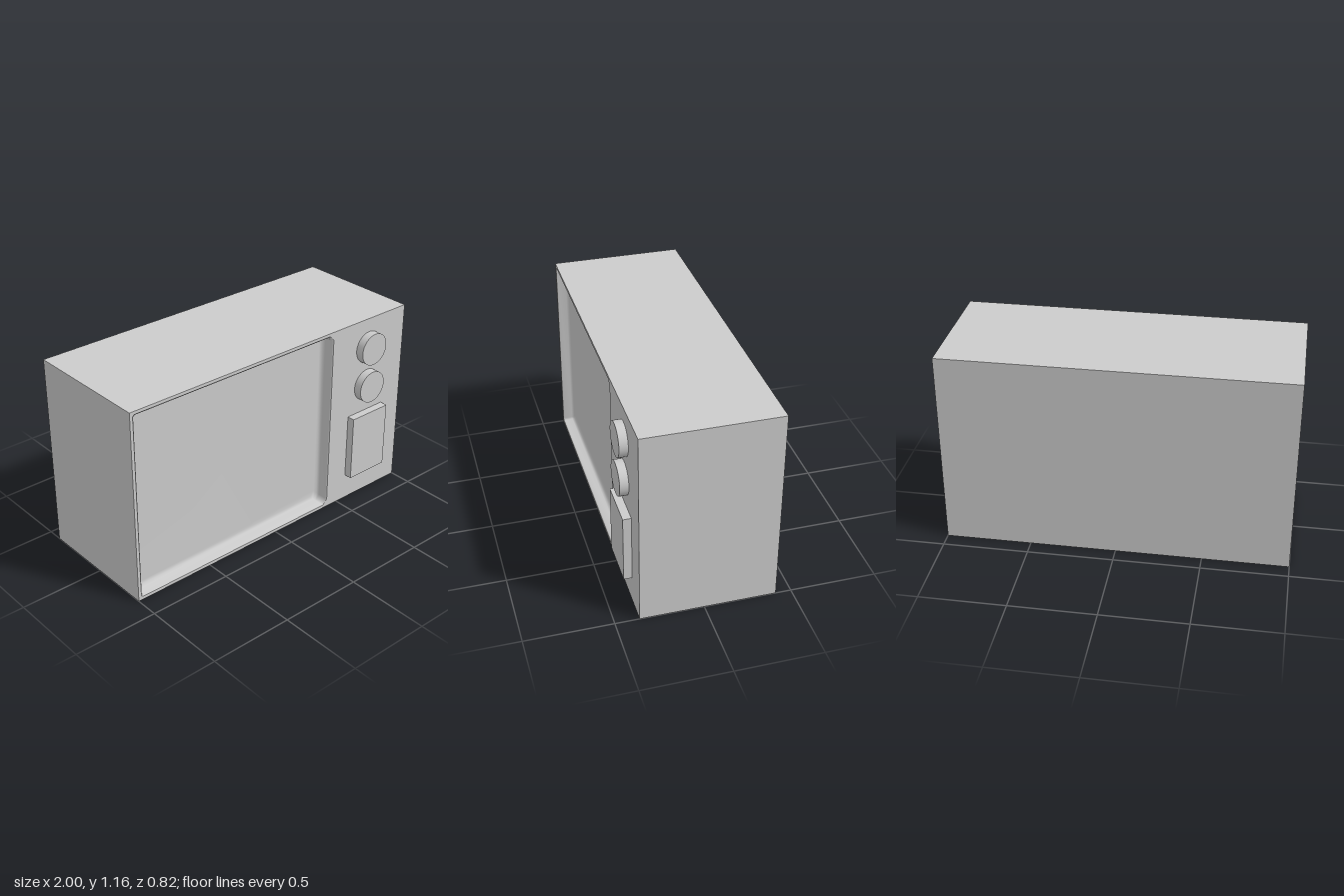
import * as THREE from 'three';

const H = 1.165, BACK = -0.411, FRONT = 0.363;

// Points around the screen opening, inset by d, with cut corners (larger beside the controls)
function opening(d) {
  const l = -0.982 + d, r = 0.418 - d, b = 0.02 + d, t = 1.147 - d, c = 0.03, s = 0.01;
  return [[l + s, b], [r - c, b], [r, b + c], [r, t - c], [r - c, t], [l + s, t], [l, t - s], [l, b + s]]
    .map(([x, y]) => new THREE.Vector2(x, y));
}

// Sunken screen: rings following a softly curved rim profile, closed by a flat floor
function screenGeometry() {
  const profile = [[0, 0], [0.007, 0.006], [0.012, 0.055], [0.02, 0.07], [0.04, 0.075]];
  const pos = [], idx = [], n = 8;
  for (const [inset, depth] of profile)
    for (const p of opening(inset)) pos.push(p.x, p.y, FRONT - depth);
  for (let k = 0; k < profile.length - 1; k++)
    for (let i = 0; i < n; i++) {
      const a = k * n + i, b = k * n + (i + 1) % n;
      idx.push(a, b, b + n, a, b + n, a + n);
    }
  const last = (profile.length - 1) * n;
  for (let i = 1; i < n - 1; i++) idx.push(last, last + i, last + i + 1);
  const g = new THREE.BufferGeometry();
  g.setAttribute('position', new THREE.Float32BufferAttribute(pos, 3));
  g.setIndex(idx);
  g.computeVertexNormals();
  return g;
}

export function createModel() {
  const group = new THREE.Group();
  const material = new THREE.MeshStandardMaterial({ color: 0xcccccc });
  const add = (name, geometry, x = 0, y = 0, z = 0) => {
    const mesh = new THREE.Mesh(geometry, material);
    mesh.name = name;
    mesh.position.set(x, y, z);
    group.add(mesh);
  };

  // Casing: a box without its front face
  const casing = new THREE.BoxGeometry(2, H, FRONT - BACK);
  const index = Array.from(casing.index.array);
  index.splice(24, 6);
  casing.setIndex(index);
  casing.clearGroups();
  add('casing', casing, 0, H / 2, (FRONT + BACK) / 2);

  // Front face with the screen opening
  const face = new THREE.Shape([[-1, 0], [1, 0], [1, H], [-1, H]].map(([x, y]) => new THREE.Vector2(x, y)));
  face.holes.push(new THREE.Path(opening(0).reverse()));
  add('frontFace', new THREE.ShapeGeometry(face), 0, 0, FRONT);
  add('screen', screenGeometry());

  // Two dials above a raised panel
  const dial = new THREE.CylinderGeometry(0.098, 0.098, 0.049, 48).rotateX(Math.PI / 2);
  add('upperDial', dial, 0.708, 0.983, FRONT + 0.0245);
  add('lowerDial', dial, 0.708, 0.738, FRONT + 0.0245);
  add('controlPanel', new THREE.BoxGeometry(0.28, 0.405, 0.047), 0.707, 0.364, FRONT + 0.0235);

  return group;
}
